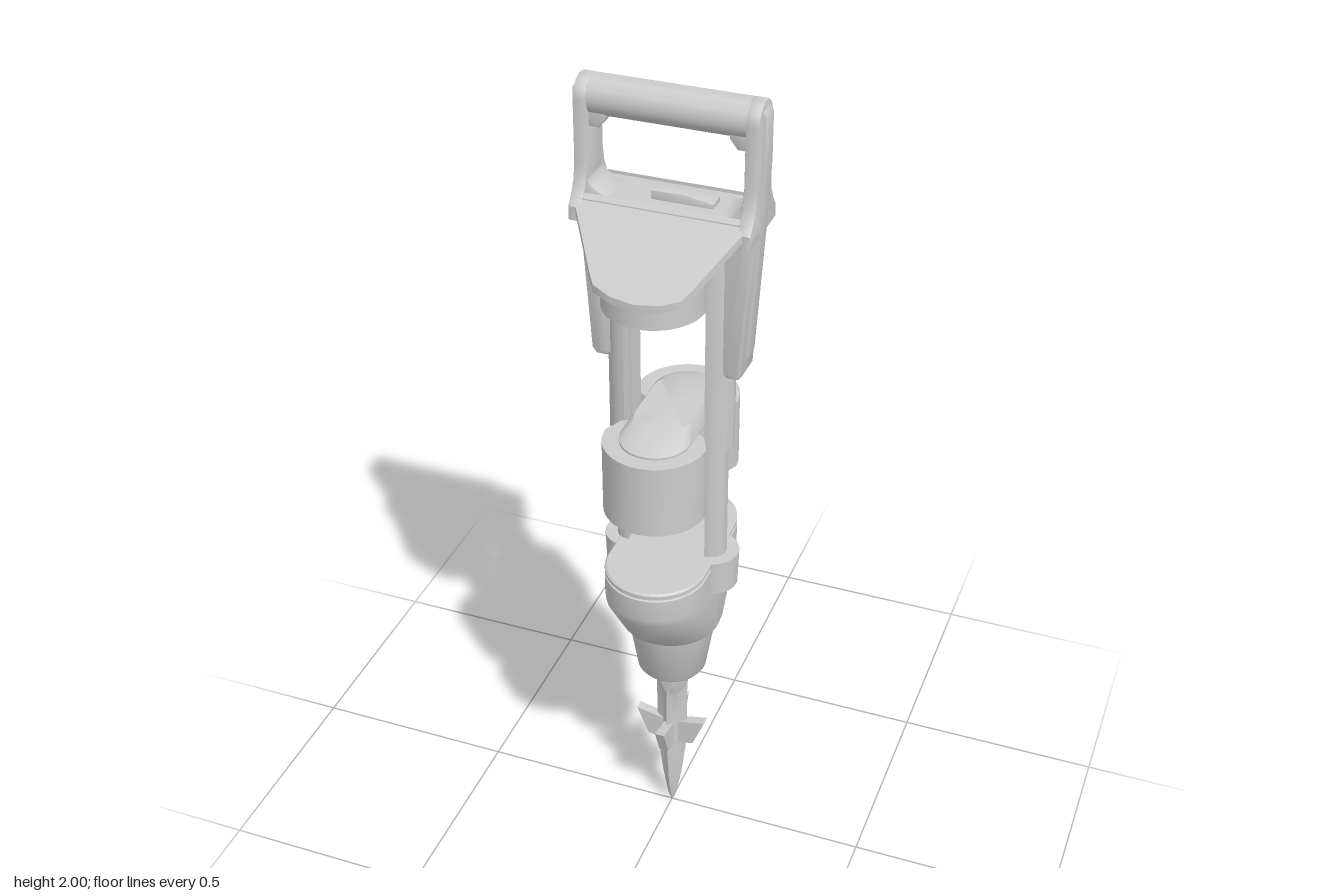
import * as THREE from 'three';
import { toCreasedNormals } from 'three/addons/utils/BufferGeometryUtils.js';

const material = new THREE.MeshStandardMaterial({ color: 0xcccccc, side: THREE.DoubleSide });

export function createModel() {
  const model = new THREE.Group();

  const add = (name, geometry, crease = 0.6) => {
    const mesh = new THREE.Mesh(toCreasedNormals(geometry, crease), material);
    mesh.name = name;
    model.add(mesh);
    return mesh;
  };

  // Closed skin through equal-length rings of [x, y, z], lowest first
  const loft = (rings) => {
    const n = rings[0].length, pos = [], idx = [];
    rings.forEach((r) => r.forEach((p) => pos.push(...p)));
    for (let i = 0; i < rings.length - 1; i++) {
      for (let j = 0; j < n; j++) {
        const a = i * n + j, b = i * n + (j + 1) % n;
        idx.push(a, a + n, b, b, a + n, b + n);
      }
    }
    const mean = (r) => [0, 1, 2].map((k) => r.reduce((s, p) => s + p[k], 0) / n);
    const last = rings.length - 1, c = pos.length / 3;
    pos.push(...mean(rings[0]), ...mean(rings[last]));
    for (let j = 0; j < n; j++) {
      const k = (j + 1) % n;
      idx.push(c, j, k, c + 1, last * n + k, last * n + j);
    }
    const g = new THREE.BufferGeometry();
    g.setAttribute('position', new THREE.Float32BufferAttribute(pos, 3));
    g.setIndex(idx);
    return g;
  };

  // Mirrors a quarter outline (from the x axis to the z axis) into a full ring
  const mirrorRing = (q, yAt) => {
    const half = [...q, ...q.slice(0, -1).reverse().map(([x, z]) => [-x, z])];
    const full = [...half, ...half.slice(1, -1).reverse().map(([x, z]) => [x, -z])];
    return full.map(([x, z]) => [x, yAt(z), z]);
  };
  const arc = (cx, cz, r, from, to, n = 12) => Array.from({ length: n + 1 }, (_, i) => {
    const a = from + (to - from) * i / n;
    return [cx + r * Math.cos(a), cz + r * Math.sin(a)];
  });
  const HALF = Math.PI / 2;
  const stadium = (r, zc) => [[r, 0], ...arc(0, zc, r, 0, HALF)];
  const notched = (r, zc) => [...arc(0.1, 0, 0.062, Math.PI, HALF, 8), ...arc(0, zc, r, 0, HALF)];

  // Flat outline, extruded about its middle plane
  const slab = (points, depth, bevel = 0) => {
    const shape = new THREE.Shape(points.map(([x, y]) => new THREE.Vector2(x, y)));
    return new THREE.ExtrudeGeometry(shape, {
      depth: depth - 2 * bevel, bevelEnabled: bevel > 0, bevelThickness: bevel,
      bevelSize: bevel, bevelOffset: -bevel, bevelSegments: 2,
    }).translate(0, 0, -depth / 2 + bevel);
  };
  const bothSides = (name, make) => [1, -1].forEach((s) => {
    add((s > 0 ? 'left' : 'right') + name, make(s)).rotation.y = s > 0 ? 0 : Math.PI;
  });

  // Fluted spike with a round shank
  const spikeRing = (y, r, flute) => Array.from({ length: 32 }, (_, i) => {
    const a = i / 32 * Math.PI * 2;
    const q = r * (1 - flute * Math.pow(Math.abs(Math.sin(2 * a)), 0.6));
    return [q * Math.cos(a), y, q * Math.sin(a)];
  });
  add('spike', loft([
    [0, 0.002, 0], [0.03, 0.012, 0.1], [0.1, 0.025, 0.4], [0.2, 0.037, 0.5],
    [0.3, 0.04, 0.5], [0.38, 0.04, 0.5], [0.42, 0.04, 0], [0.48, 0.04, 0],
  ].map((p) => spikeRing(...p))));

  // Four swept barbs
  for (let i = 0; i < 4; i++) {
    add('barb', slab([[0.02, 0.285], [0.09, 0.3], [0.06, 0.225], [0.02, 0.215]], 0.024))
      .rotation.y = i * HALF;
  }

  // Tapered nose
  add('noseCone', new THREE.LatheGeometry([
    [0, 0.47], [0.078, 0.47], [0.084, 0.478], [0.108, 0.625], [0, 0.625],
  ].map(([x, y]) => new THREE.Vector2(x, y)), 40));

  // Lower hull: round at the bottom, widening front to back
  add('lowerHull', loft([
    [0.622, 0.118, 0.005], [0.63, 0.12, 0.012], [0.755, 0.12, 0.1], [0.775, 0.12, 0.105],
    [0.832, 0.12, 0.105], [0.834, 0.116, 0.105], [0.838, 0.116, 0.105],
    [0.84, 0.12, 0.105], [0.848, 0.12, 0.105], [0.852, 0.116, 0.104],
  ].map(([y, r, zc]) => mirrorRing(stadium(r, zc), () => y))));
  bothSides('HullSocket', () => new THREE.CylinderGeometry(0.065, 0.062, 0.09, 32).translate(0.1, 0.805, 0));

  // Half-round channel rods: slim below, sleeved above
  const channel = (r, x, y0, y1) => {
    const outer = arc(x, 0, r, -HALF, HALF, 16), inner = arc(x, 0, r * 0.55, HALF, -HALF, 10);
    const shape = new THREE.Shape([...outer, ...inner].map(([a, b]) => new THREE.Vector2(a, b)));
    return new THREE.ExtrudeGeometry(shape, { depth: y1 - y0, bevelEnabled: false })
      .rotateX(-HALF).translate(0, y0, 0);
  };
  bothSides('Rod', () => channel(0.04, 0.095, 0.83, 1.7));
  bothSides('RodSleeve', () => channel(0.052, 0.096, 1.15, 1.72));
  bothSides('RodRib', () => new THREE.BoxGeometry(0.03, 0.87, 0.014).translate(0.11, 1.265, 0));

  // Middle weight with a bevelled cap
  add('middleBlock', loft([1.02, 1.2].map((y) => mirrorRing(notched(0.12, 0.105), () => y))));
  add('middleCap', loft([
    [1.195, 0.082, 0.105], [1.205, 0.082, 0.105], [1.232, 0.066, 0.055],
  ].map(([y, r, zc]) => mirrorRing(stadium(r, zc), () => y))));

  // Head body under the sloping shields
  const slope = (z) => 1.745 - 0.88 * Math.max(0, Math.abs(z) - 0.07);
  const headOutline = notched(0.115, 0.107);
  add('headBody', loft([
    mirrorRing(headOutline, () => 1.55), mirrorRing(headOutline, (z) => slope(z) - 0.008),
  ]));
  add('headRoof', slab([[-0.19, 1.7], [0.19, 1.7], [0.19, 1.748], [-0.19, 1.748]], 0.144));

  // Shields: plan outline sheared down along the slope
  const edge = [[0.197, 0.06], [0.185, 0.085], [0.11, 0.192], [0.098, 0.206], [0.055, 0.22], [0, 0.226]];
  const plan = [...edge, ...edge.slice(0, -1).reverse().map(([x, z]) => [-x, z])];
  ['front', 'back'].forEach((side, i) => {
    const g = slab(plan, 0.018).rotateX(HALF);
    const p = g.attributes.position;
    for (let k = 0; k < p.count; k++) {
      p.setY(k, p.getY(k) + 1.738 - 0.88 * (p.getZ(k) - 0.07));
    }
    add(side + 'Shield', g).rotation.y = i * Math.PI;
  });

  // Handle posts: rounded top, flaring into the shields
  const flare = [[0.085, 1.7], [0.085, 1.732], [0.068, 1.752], [0.053, 1.78], [0.046, 1.82]];
  const postSide = [...flare, ...arc(0, 1.955, 0.045, 0, Math.PI, 16),
    ...flare.slice().reverse().map(([z, y]) => [-z, y])];
  bothSides('HandlePost', () => slab(postSide, 0.03, 0.004).rotateY(HALF).translate(0.188, 0, 0));
  // Rounded corners where the posts meet the roof
  bothSides('PostFillet', () => slab(
    [[0.185, 1.735], [0.12, 1.735], ...arc(0.125, 1.8, 0.052, -HALF, 0, 8), [0.185, 1.83]], 0.09, 0.004));

  // Grip with end blocks
  add('grip', new THREE.CylinderGeometry(0.043, 0.043, 0.35, 32).rotateZ(HALF).translate(0, 1.957, 0));
  bothSides('GripBlock', () => slab(
    [[0.178, 1.94], [0.13, 1.94], [0.135, 1.915], [0.152, 1.893], [0.178, 1.893]], 0.06, 0.005));

  // Side arms running down the sleeves, each with a raised strip
  bothSides('SideArm', () => slab([
    [0.13, 1.36], [0.14, 1.35], [0.166, 1.35], [0.177, 1.365], [0.202, 1.74], [0.202, 1.82],
    [0.18, 1.82], [0.17, 1.75], [0.13, 1.7],
  ], 0.08, 0.008));
  bothSides('SideStrip', () => slab([
    [0.17, 1.39], [0.18, 1.39], [0.185, 1.41], [0.207, 1.75], [0.212, 1.86], [0.212, 1.97],
    [0.205, 1.982], [0.192, 1.982], [0.19, 1.75],
  ], 0.046, 0.004));

  // Switch on the roof
  add('switch', slab([[-0.04, 1.74], [0.1, 1.74], [0.1, 1.758], [0.085, 1.762], [0.03, 1.77], [-0.04, 1.768]], 0.045, 0.004));

  return model;
}
